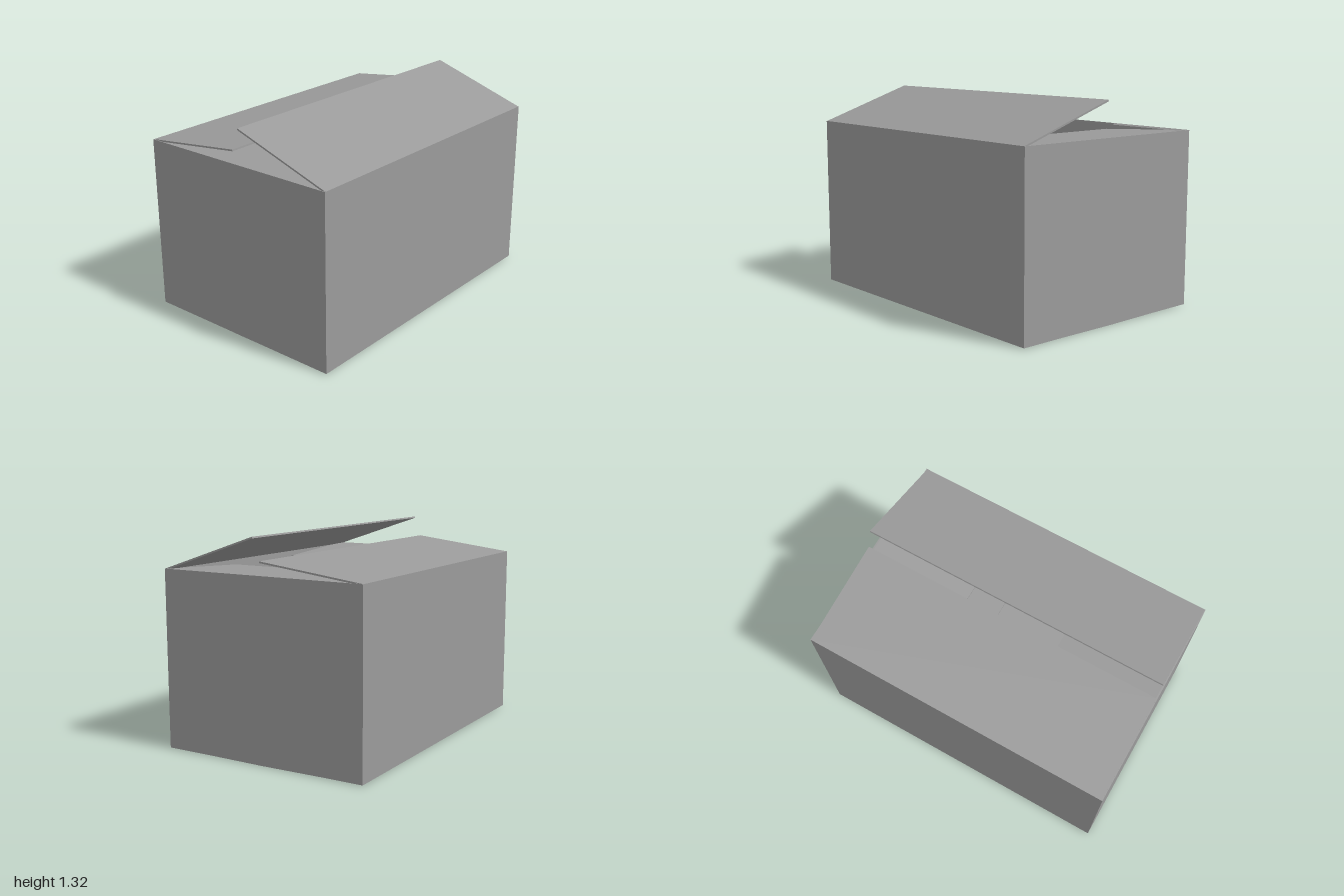
import * as THREE from 'three';

const W = 2, D = 1.36, TOP = 1.108, BASE = 0.005, T = 0.01; // outer size and board thickness

export function createModel() {
  const box = new THREE.Group();
  box.name = 'cardboardBox';
  const card = new THREE.MeshStandardMaterial({ color: 0x9b9b9b });

  const panel = (name, w, h, d, x, y, z) => {
    const mesh = new THREE.Mesh(new THREE.BoxGeometry(w, h, d), card);
    mesh.name = name;
    mesh.position.set(x, y, z);
    return mesh;
  };

  // A flap hinged at height y on the wall facing "yaw", raised by "tilt";
  // "side" is +1 when the board lies above the hinge, -1 when below
  const flap = (name, width, length, yaw, reach, y, tilt, side) => {
    const mesh = panel(name, width, T, length, 0, y, reach);
    mesh.geometry.translate(0, side * T / 2, -length / 2);
    mesh.rotation.x = tilt;
    const pivot = new THREE.Group();
    pivot.name = name + 'Hinge';
    pivot.rotation.y = yaw;
    pivot.add(mesh);
    box.add(pivot);
  };

  // Four walls
  const h = TOP - BASE, mid = (TOP + BASE) / 2;
  for (const [s, fb, lr] of [[1, 'front', 'left'], [-1, 'back', 'right']]) {
    box.add(panel(fb + 'Wall', W, h, T, 0, mid, s * (D - T) / 2));
    box.add(panel(lr + 'Wall', T, h, D - 2 * T, s * (W - T) / 2, mid, 0));
  }

  // Long top flaps, partly open
  flap('frontTopFlap', W - 0.01, 0.675, 0, D / 2, TOP, 0.327, -1);
  flap('backTopFlap', W - 0.01, 0.679, Math.PI, D / 2, TOP, 0.121, -1);

  // Short top flaps dipping slightly inward, and short bottom flaps inside the floor
  for (const [s, lr] of [[1, 'left'], [-1, 'right']]) {
    const yaw = s * Math.PI / 2, reach = W / 2 - T;
    flap(lr + 'TopFlap', D - 2 * T, 0.673, yaw, reach, TOP, -0.062, -1);
    flap(lr + 'BottomFlap', D - 2 * T, 0.67, yaw, reach, BASE + T, 0, 1);
  }

  // Long bottom flaps meeting in the middle with a slight sag
  const sag = -BASE / (D / 2);
  flap('frontBottomFlap', W - 0.01, D / 2 - 0.0005, 0, D / 2, BASE, sag, 1);
  flap('backBottomFlap', W - 0.01, D / 2 - 0.0005, Math.PI, D / 2, BASE, sag, 1);

  return box;
}
